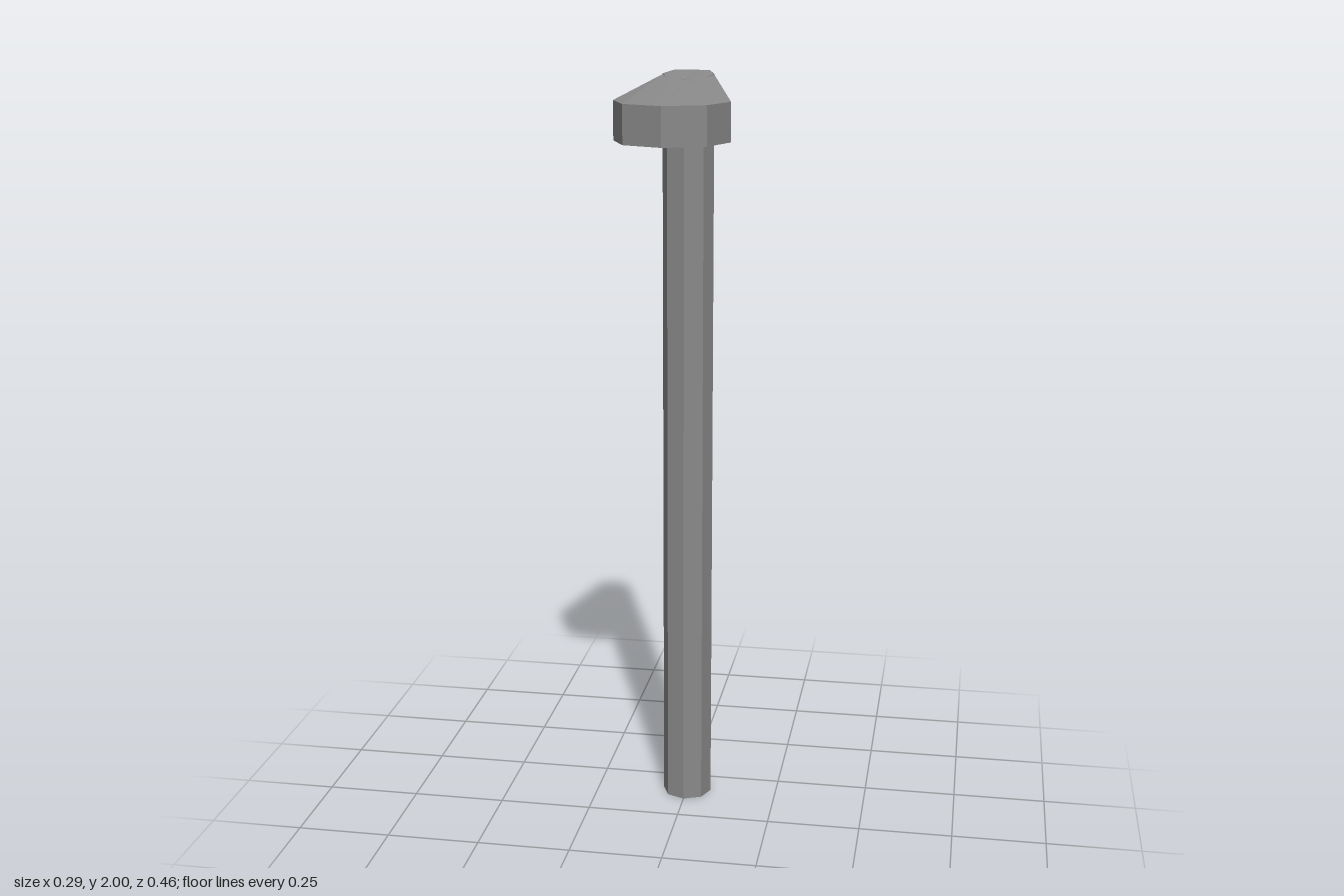
import * as THREE from 'three';

const metal = new THREE.MeshStandardMaterial({ color: 0x8a8a8a, side: THREE.DoubleSide });
metal.name = 'grey metal';

const POLE_Z = -0.164, POLE_R = 0.067, HEAD_BOTTOM = 1.85;

// Full ring from the right half, ordered front, right, back, left
function mirrorRing(half) {
  const left = half.filter(p => p[0] > 0).map(([x, y, z]) => [-x, y, z]).reverse();
  return [...half, ...left];
}

const atHeight = (ring, y) => ring.map(p => [p[0], y, p[2]]);

// Quads between two rings, facing outward when the first ring is the lower one
function band(lower, upper, closed = true) {
  const tris = [];
  const n = lower.length;
  for (let i = 0; i < (closed ? n : n - 1); i++) {
    const j = (i + 1) % n;
    tris.push(lower[i], lower[j], upper[j], lower[i], upper[j], upper[i]);
  }
  return tris;
}

// Fan over a ring; flip turns it downward
function fan(ring, flip = false) {
  const tris = [];
  for (let i = 1; i < ring.length - 1; i++) {
    if (flip) tris.push(ring[0], ring[i + 1], ring[i]);
    else tris.push(ring[0], ring[i], ring[i + 1]);
  }
  return tris;
}

function facetMesh(name, tris) {
  const g = new THREE.BufferGeometry();
  g.setAttribute('position', new THREE.Float32BufferAttribute(tris.flat(), 3));
  g.computeVertexNormals();
  const mesh = new THREE.Mesh(g, metal);
  mesh.name = name;
  return mesh;
}

export function createModel() {
  const model = new THREE.Group();
  model.name = 'streetLamp';

  // Octagonal hollow pole, its top cut along the slope of the head
  let poleGeo = new THREE.CylinderGeometry(POLE_R, POLE_R, 2, 8, 1, true).translate(0, 1, POLE_Z);
  const pos = poleGeo.attributes.position;
  for (let i = 0; i < pos.count; i++) {
    if (pos.getY(i) > 1) pos.setY(i, Math.min(2, 2 - 0.126 * (pos.getZ(i) + 0.212)));
  }
  poleGeo = poleGeo.toNonIndexed();
  poleGeo.computeVertexNormals();
  const pole = new THREE.Mesh(poleGeo, metal);
  pole.name = 'pole';
  model.add(pole);

  // Key points of the sloping top, right half
  const tip = [0, 1.947, 0.23], corner = [0.102, 1.947, 0.187], side = [0.145, 1.947, 0.085];
  const poleSide = [POLE_R, 1.992, POLE_Z], crease = [0.047, 1.988, -0.117];
  const poleBack = [0.047, 2, -0.211], back = [0, 2, -0.231];

  // Head top: broad centre plane with a narrower facet on each side
  const top = fan(mirrorRing([tip, corner, crease, poleBack, back]));
  const rightFacet = fan([corner, side, poleSide, crease]);
  rightFacet.push(crease, poleSide, poleBack);
  top.push(...rightFacet);
  for (let i = 0; i < rightFacet.length; i += 3) {
    const [a, b, c] = rightFacet.slice(i, i + 3).map(([x, y, z]) => [-x, y, z]);
    top.push(a, c, b);
  }
  model.add(facetMesh('headTop', top));

  // Head walls, open where they meet the pole
  const m = ([x, y, z]) => [-x, y, z];
  const upper = [m(poleSide), m(side), m(corner), tip, corner, side, poleSide];
  const lower = atHeight(upper, HEAD_BOTTOM);
  model.add(facetMesh('headWalls', band(lower, upper)));

  // Rim around the underside and the shallow recess inside it
  const inner = [[-0.045, -0.15], [-0.118, 0.082], [-0.084, 0.165], [0, 0.199],
    [0.084, 0.165], [0.118, 0.082], [0.045, -0.15]].map(([x, z]) => [x, HEAD_BOTTOM, z]);
  const ceiling = atHeight(inner, HEAD_BOTTOM + 0.022);
  model.add(facetMesh('headRim', band(inner, lower, false)));
  model.add(facetMesh('recessWalls', band(ceiling, inner, false)));
  model.add(facetMesh('lampPanel', fan(ceiling, true)));

  return model;
}
